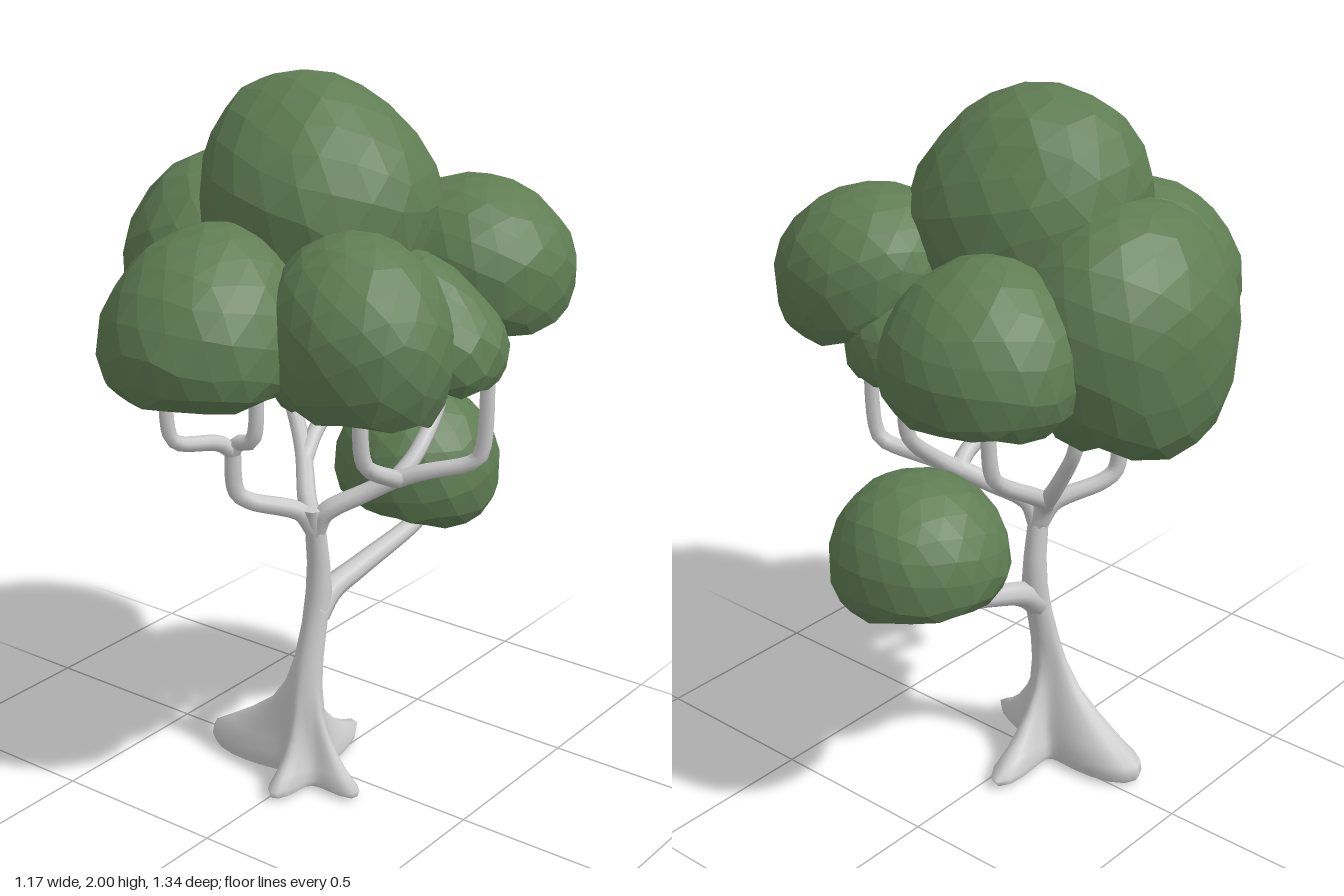
import * as THREE from 'three';
import { mergeVertices } from 'three/addons/utils/BufferGeometryUtils.js';

const bark = new THREE.MeshStandardMaterial({ color: 0xcccccc });
const leaf = new THREE.MeshStandardMaterial({ color: 0x5f7d53, flatShading: true });
const V = (p) => new THREE.Vector3(...p);

// Repeatable noise in -1..1
const noise = (i, s) => {
  const n = Math.sin(i * 12.9898 + s * 78.233) * 43758.5453;
  return (n - Math.floor(n)) * 2 - 1;
};

// Faceted dome with a hollow underside, filling the given box.
// taper narrows and lean shifts the top, tilt slopes the underside (each as x, z);
// drop is the share of the height below the waist, rim sets how far the underside
// rounds in, bend how boxy (low) or round (high) its edge is
function foliage(name, [x0, x1], [y0, y1], [z0, z1], seed, options = {}) {
  const { taper = [0, 0], lean = [0, 0], tilt = [0, 0], drop = 0.36, rim = 0.56, bend = 0.65 } = options;
  const ico = new THREE.IcosahedronGeometry(1, 3);
  ico.deleteAttribute('normal');
  ico.deleteAttribute('uv');
  ico.rotateX(seed * 1.3).rotateY(seed * 2.1);
  const geo = mergeVertices(ico, 0.001);
  const pos = geo.attributes.position, v = new THREE.Vector3();
  const h = y1 - y0, low = h * drop, waist = y0 + low;
  for (let i = 0; i < pos.count; i++) {
    v.fromBufferAttribute(pos, i);
    const [a, b, c] = [seed, seed + 7, seed + 13].map((s) => noise(i, s));
    const up = Math.max(0, v.y), t = Math.max(0, -v.y);
    const dx = (v.x * (1 - taper[0] * up) + 0.05 * b * (1 - Math.abs(v.x))) * (x1 - x0) / 2 + lean[0] * up;
    const dz = (v.z * (1 - taper[1] * up) + 0.05 * c * (1 - Math.abs(v.z))) * (z1 - z0) / 2 + lean[1] * up;
    let y = waist + up * (h - low) * (1 + 0.03 * a * (1 - up));
    if (t > 0) {
      y = t < rim
        ? waist - low * Math.pow(t / rim, bend)
        : y0 + h * 0.4 * THREE.MathUtils.smoothstep(t, rim, 1);
      y += a * h * 0.025 + (tilt[0] * dx + tilt[1] * dz) * Math.min(1, t * 2);
    }
    pos.setXYZ(i, (x0 + x1) / 2 + dx, y, (z0 + z1) / 2 + dz);
  }
  geo.computeVertexNormals();
  const mesh = new THREE.Mesh(geo, leaf);
  mesh.name = name;
  return mesh;
}

// Tapered limb along a curve
function limb(name, points, r0, r1) {
  const curve = new THREE.CatmullRomCurve3(points.map(V), false, 'centripetal');
  const steps = points.length * 5, sides = 8;
  const geo = new THREE.TubeGeometry(curve, steps, 1, sides);
  const pos = geo.attributes.position, v = new THREE.Vector3();
  for (let i = 0; i < pos.count; i++) {
    const t = Math.floor(i / (sides + 1)) / steps, c = curve.getPointAt(t);
    v.fromBufferAttribute(pos, i).sub(c).multiplyScalar(r0 + (r1 - r0) * Math.pow(t, 0.6)).add(c);
    pos.setXYZ(i, v.x, v.y, v.z);
  }
  const mesh = new THREE.Mesh(geo, bark);
  mesh.name = name;
  return mesh;
}

// Trunk lofted from rings; each pointed root adds a lobe that fades with height
function trunk() {
  // height, centre z, radius, flare of the large root, flare of the small ones
  const rings = [
    [0.01, 0.05, 0.055, 0.98, 0.98], [0.03, 0.05, 0.06, 1, 1], [0.06, 0.05, 0.06, 0.98, 0.7],
    [0.1, 0.05, 0.058, 0.76, 0.42], [0.15, 0.055, 0.055, 0.5, 0.22], [0.21, 0.06, 0.051, 0.24, 0.08],
    [0.28, 0.06, 0.046, 0.08, 0.02], [0.36, 0.045, 0.04, 0.02, 0], [0.46, 0.02, 0.036, 0, 0],
    [0.55, 0, 0.037, 0, 0], [0.64, 0.002, 0.032, 0, 0], [0.74, 0.015, 0.029, 0, 0], [0.81, 0.03, 0.03, 0, 0],
  ];
  // root angle (from +x toward +z), length, sharpness
  const roots = [[Math.PI, 0.285, 14], [1.45, 0.14, 24], [0.24, 0.16, 34], [-1.75, 0.23, 30]];
  const n = 64, verts = [], index = [];
  for (const [y, cz, r, big, small] of rings) {
    for (let j = 0; j < n; j++) {
      const a = (j / n) * Math.PI * 2;
      let d = r;
      roots.forEach(([ra, len, sharp], k) => {
        const c = Math.max(0, Math.cos(a - ra));
        d += len * (k ? small : big) * (0.6 * Math.pow(c, sharp) + 0.4 * Math.pow(c, 5));
      });
      verts.push(Math.cos(a) * d, y, cz + Math.sin(a) * d);
    }
  }
  for (let i = 0; i < rings.length - 1; i++) {
    for (let j = 0; j < n; j++) {
      const a = i * n + j, b = i * n + (j + 1) % n;
      index.push(a, a + n, b, b, a + n, b + n);
    }
  }
  // Closed underside and top, with their own vertices
  for (const [row, up] of [[0, false], [rings.length - 1, true]]) {
    const s = verts.length / 3;
    verts.push(0, up ? rings[row][0] + 0.01 : 0, rings[row][1]);
    for (let j = 0; j < n; j++) verts.push(...verts.slice((row * n + j) * 3, (row * n + j) * 3 + 3));
    for (let j = 0; j < n; j++) {
      const a = s + 1 + j, b = s + 1 + (j + 1) % n;
      if (up) index.push(s, b, a); else index.push(s, a, b);
    }
  }
  const geo = new THREE.BufferGeometry();
  geo.setAttribute('position', new THREE.Float32BufferAttribute(verts, 3));
  geo.setIndex(index);
  geo.computeVertexNormals();
  const mesh = new THREE.Mesh(geo, bark);
  mesh.name = 'trunk';
  return mesh;
}

export function createModel() {
  const tree = new THREE.Group();
  tree.name = 'tree';
  tree.add(trunk());

  const branches = new THREE.Group();
  branches.name = 'branches';
  branches.add(
    // front fork
    limb('frontBranch', [[0, 0.74, 0.015], [-0.025, 0.8, 0.05], [-0.11, 0.85, 0.165], [-0.13, 0.88, 0.195], [-0.135, 1.03, 0.205]], 0.03, 0.022),
    limb('frontOuterStem', [[-0.135, 1.0, 0.205], [-0.15, 1.03, 0.24], [-0.195, 1.055, 0.355], [-0.205, 1.08, 0.375], [-0.21, 1.4, 0.38]], 0.024, 0.017),
    limb('frontInnerStem', [[-0.135, 1.0, 0.205], [-0.12, 1.025, 0.2], [-0.075, 1.04, 0.2], [-0.06, 1.07, 0.2], [-0.06, 1.42, 0.2]], 0.024, 0.017),
    // left fork
    limb('leftBranch', [[0, 0.74, 0.015], [0.03, 0.8, 0.01], [0.12, 0.86, -0.06], [0.2, 0.91, -0.12]], 0.03, 0.025),
    limb('leftFrontStem', [[0.18, 0.895, -0.11], [0.2, 0.92, -0.06], [0.195, 0.975, 0.04], [0.19, 1.01, 0.06], [0.19, 1.4, 0.07]], 0.026, 0.019),
    limb('leftOuterStem', [[0.18, 0.895, -0.11], [0.24, 0.92, -0.14], [0.365, 0.96, -0.205], [0.385, 0.985, -0.215], [0.39, 1.5, -0.22]], 0.026, 0.018),
    limb('leftBackStem', [[0.18, 0.895, -0.11], [0.195, 0.95, -0.18], [0.19, 1.04, -0.28], [0.19, 1.08, -0.3], [0.19, 1.42, -0.3]], 0.026, 0.018),
    // right fork
    limb('rightBranch', [[0, 0.74, 0.015], [-0.03, 0.81, 0.01], [-0.14, 0.91, -0.11], [-0.22, 1.0, -0.17], [-0.3, 1.13, -0.2], [-0.31, 1.18, -0.2], [-0.31, 1.42, -0.2]], 0.03, 0.018),
    limb('rightBackStem', [[-0.12, 0.89, -0.09], [-0.145, 0.95, -0.18], [-0.15, 1.05, -0.33], [-0.15, 1.09, -0.35], [-0.15, 1.45, -0.36]], 0.026, 0.018),
    // low back limb
    limb('lowBackBranch', [[0, 0.49, 0.012], [0.004, 0.54, -0.05], [0.02, 0.575, -0.16], [0.048, 0.645, -0.41], [0.055, 0.68, -0.445], [0.055, 0.9, -0.45]], 0.042, 0.02),
  );
  tree.add(branches);

  const crown = new THREE.Group();
  crown.name = 'crown';
  crown.add(
    foliage('topFoliage', [-0.32, 0.32], [1.5, 2.0], [-0.33, 0.31], 1, { taper: [0, 0.2], lean: [-0.05, 0] }),
    foliage('rightFoliage', [-0.59, -0.05], [1.18, 1.76], [-0.34, 0.3], 2, { tilt: [0.25, 0], drop: 0.45, rim: 0.72, bend: 0.8 }),
    foliage('frontFoliage', [-0.33, 0.21], [1.25, 1.67], [0.14, 0.67], 3, { taper: [0.1, 0], lean: [0, -0.06], tilt: [0.06, 0] }),
    foliage('backFoliage', [-0.41, 0.13], [1.27, 1.66], [-0.62, -0.12], 4, { taper: [0.1, 0.05], lean: [0, 0.03] }),
    foliage('leftBackFoliage', [0.08, 0.585], [1.35, 1.73], [-0.52, -0.02], 5, { lean: [-0.03, 0], drop: 0.4 }),
    foliage('leftFoliage', [0.2, 0.575], [1.26, 1.59], [-0.17, 0.2], 6, { taper: [0.2, 0.25], lean: [-0.08, 0] }),
    foliage('leftFrontFoliage', [0.05, 0.54], [1.2, 1.67], [0, 0.45], 7, { lean: [-0.03, -0.02], tilt: [0, 0.1], drop: 0.45, rim: 0.65, bend: 0.75 }),
    foliage('innerFoliage', [0.0, 0.33], [1.27, 1.52], [-0.48, -0.12], 8),
    foliage('lowBackFoliage', [-0.21, 0.27], [0.7, 1.05], [-0.67, -0.19], 9, { tilt: [-0.1, 0], taper: [0.05, 0.05] }),
  );
  tree.add(crown);
  return tree;
}
